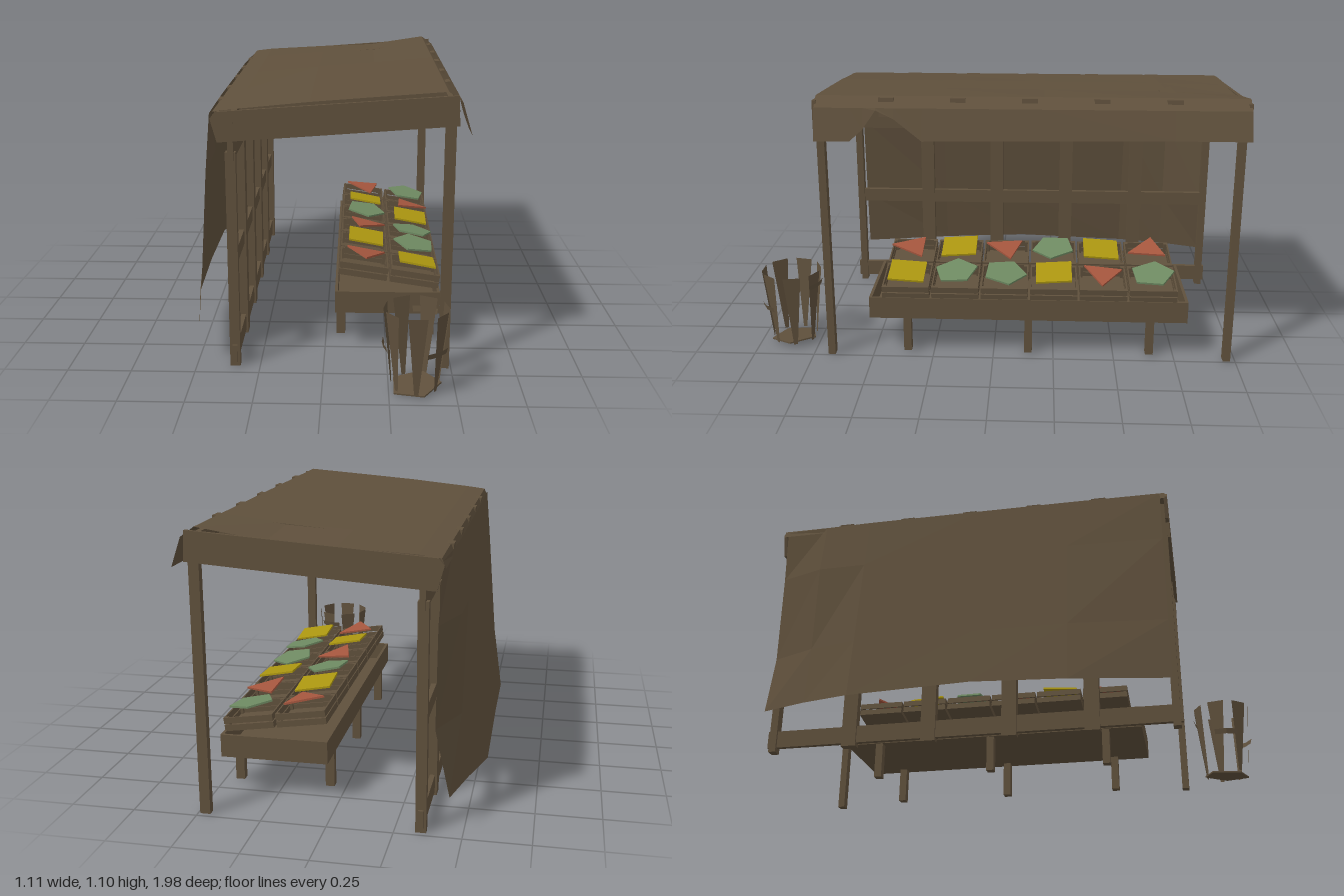
import * as THREE from 'three';

const mat = (name, color) => {
  const m = new THREE.MeshStandardMaterial({ color, flatShading: true, side: THREE.DoubleSide });
  m.name = name;
  return m;
};

export function createModel() {
  const wood = mat('weathered brown', 0x5f503c);
  const red = mat('tomato red', 0xa5563e);
  const yellow = mat('lemon yellow', 0xab9610);
  const green = mat('leaf green', 0x6e8a62);
  const root = new THREE.Group();
  root.name = 'marketStall';

  const add = (name, geo, material = wood, parent = root) => {
    const m = new THREE.Mesh(geo, material);
    m.name = name;
    parent.add(m);
    return m;
  };
  // Box given by its minimum and maximum corners
  const box = (name, x0, x1, y0, y1, z0, z1, parent = root) => {
    const m = add(name, new THREE.BoxGeometry(x1 - x0, y1 - y0, z1 - z0), wood, parent);
    m.position.set((x0 + x1) / 2, (y0 + y1) / 2, (z0 + z1) / 2);
    return m;
  };
  // Sheet stretched over equal-length rows of [x, y, z] points
  const sheet = (rows) => {
    const n = rows[0].length, index = [];
    for (let i = 0; i < rows.length - 1; i++)
      for (let j = 0; j < n - 1; j++) {
        const a = i * n + j, b = a + n;
        index.push(a, b, a + 1, b, b + 1, a + 1);
      }
    const g = new THREE.BufferGeometry();
    g.setAttribute('position', new THREE.Float32BufferAttribute(rows.flat(2), 3));
    g.setIndex(index);
    g.computeVertexNormals();
    return g;
  };

  // Corner posts
  for (const [z0, z1] of [[0.66, 0.69], [-0.98, -0.95]]) {
    box('backPost', -0.368, -0.328, 0, 0.865, z0, z1);
    box('frontPost', 0.452, 0.492, 0, 1.0, z0, z1);
  }

  // Sloping end boards under the roof
  const board = new THREE.Shape([[-0.42, 0.995], [-0.395, 0.905], [0.503, 0.972], [0.497, 1.085], [-0.4, 1.02]]
    .map(p => new THREE.Vector2(...p)));
  for (const z of [0.685, -0.993])
    add('endBoard', new THREE.ExtrudeGeometry(board, { depth: 0.014, bevelEnabled: false })).position.z = z;

  // Long beams and back rails
  box('backBeam', -0.357, -0.335, 0.835, 1.0, -0.99, 0.7);
  box('frontBeam', 0.462, 0.482, 0.975, 1.07, -0.98, 0.69);
  box('lowerRail', -0.358, -0.338, 0.02, 0.09, -0.99, 0.7);
  box('middleRail', -0.358, -0.338, 0.405, 0.465, -0.98, 0.69);

  // Back struts
  for (let i = 0; i < 4; i++) {
    const z = 0.35 - i * 0.33;
    box('backStrut', -0.366, -0.33, 0.005, 0.86, z - 0.03, z + 0.03);
  }

  // Rafters
  for (let i = 0; i < 5; i++) {
    const r = add('rafter', new THREE.BoxGeometry(0.91, 0.075, 0.06));
    r.position.set(0.035, 1.02, -0.7 + i * 0.278);
    r.rotation.z = 0.083;
  }

  // Cloth roof with a front flap that lifts at a tear
  const roofRows = [
    [-0.99, 0.02, 0.55, 0.95], [-0.7, 0.008, 0.547, 0.95], [-0.2, 0.004, 0.547, 0.945], [0.27, 0, 0.547, 0.938],
    [0.38, 0, 0.525, 1.02], [0.45, 0, 0.517, 1.052], [0.5, 0, 0.535, 0.98], [0.55, 0, 0.55, 0.936], [0.69, 0, 0.55, 0.936],
  ].map(([z, sag, fx, fy]) => [
    [-0.425, 0.985, z], [-0.41, 1.02, z], [-0.33, 1.03, z], [-0.05, 1.058 - sag * 0.6, z],
    [0.2, 1.078 - sag, z], [0.46, 1.098, z], [0.512, 1.06, z], [fx, fy, z],
  ]);
  add('roofCloth', sheet(roofRows));

  // Hanging back curtain, pulled inwards at one corner
  const curtainRows = [
    [-0.975, -0.415, -0.4, -0.395, -0.45, 0.145],
    [-0.79, -0.425, -0.462, -0.47, -0.5, 0.15],
    [-0.59, -0.43, -0.465, -0.518, -0.555, 0.145],
    [-0.1, -0.43, -0.463, -0.514, -0.55, 0.165],
    [0.28, -0.43, -0.46, -0.51, -0.546, 0.15],
    [0.67, -0.425, -0.445, -0.47, -0.49, 0.145],
  ].map(([z, a, b, c, d, y]) => [[a, 1.01, z], [b, 0.78, z], [c, 0.4, z], [d, y, z]]);
  add('backCurtain', sheet(curtainRows));

  // Table tray
  const table = new THREE.Group();
  table.name = 'table';
  root.add(table);
  box('tableBottom', 0.04, 0.465, 0.157, 0.17, -0.8, 0.515, table);
  box('trayBackBoard', 0.04, 0.052, 0.157, 0.248, -0.8, 0.515, table);
  box('trayFrontBoard', 0.453, 0.465, 0.157, 0.248, -0.8, 0.515, table);
  for (const z of [-0.8, 0.503]) box('trayEndBoard', 0.04, 0.465, 0.157, 0.248, z, z + 0.012, table);
  for (const z of [0.36, -0.145, -0.65])
    for (const x of [0.045, 0.418]) box('tableLeg', x, x + 0.036, 0.005, 0.16, z - 0.016, z + 0.016, table);

  // Tilted display of slatted crates with produce sheets
  const Y = yellow, G = green, R = red;
  const produce = [[R, Y, R, G, Y, R], [Y, G, G, Y, R, G]];
  const sides = new Map([[R, 3], [Y, 4], [G, 5]]);
  produce.forEach((row, k) => row.forEach((color, i) => {
    const crate = new THREE.Group();
    crate.name = 'crate';
    crate.position.set(0.155 + k * 0.21, 0.316 - k * 0.031, 0.363 - i * 0.204);
    crate.rotation.z = -0.147;
    root.add(crate);
    box('crateBottom', -0.1, 0.1, -0.027, -0.021, -0.097, 0.097, crate);
    for (const y of [-0.027, 0.003]) {
      for (const x of [-0.1, 0.094]) box('crateSlat', x, x + 0.006, y, y + 0.025, -0.097, 0.097, crate);
      for (const z of [-0.097, 0.091]) box('crateSlat', -0.1, 0.1, y, y + 0.025, z, z + 0.006, crate);
    }
    for (const x of [-0.094, 0.082])
      for (const z of [-0.091, 0.079]) box('cratePost', x, x + 0.012, -0.027, 0.028, z, z + 0.012, crate);
    const n = sides.get(color);
    const g = new THREE.CylinderGeometry(n === 4 ? 0.105 : 0.092, n === 4 ? 0.105 : 0.092, 0.008, n);
    g.rotateY(n === 4 ? Math.PI / 4 : i * 0.9);
    const p = add('produce', g, color, crate);
    p.position.set(0.005, 0.05 + 0.004 * (i % 2), 0);
    p.rotation.set(0.07 * (i % 2 ? 1 : -1), 0, -0.04);
  }));

  // Bucket of tapered staves around a five-sided base
  const bucket = new THREE.Group();
  bucket.name = 'bucket';
  bucket.position.set(0.35, 0, 0.86);
  root.add(bucket);
  const base = add('bucketBase', new THREE.CylinderGeometry(0.1, 0.1, 0.006, 5), wood, bucket);
  base.position.y = 0.015;
  base.rotation.set(0.04, 0.3, 0.1);
  for (let i = 0; i < 7; i++) {
    const stave = add('bucketStave', sheet([
      [[-0.036, 0.325, 0.118], [0.036, 0.325, 0.118]],
      [[-0.008, 0.015, 0.092], [0.008, 0.015, 0.092]],
    ]), wood, bucket);
    stave.rotation.y = i * Math.PI * 2 / 7;
  }
  // Broken hoop pieces
  [[0.3, 0.18], [2.4, 0.27], [4.4, 0.18]].forEach(([a, y]) => {
    const hoop = add('hoopPiece', new THREE.CylinderGeometry(0.128, 0.122, 0.022, 2, 1, true, a, 0.8), wood, bucket);
    hoop.position.y = y;
  });

  return root;
}
